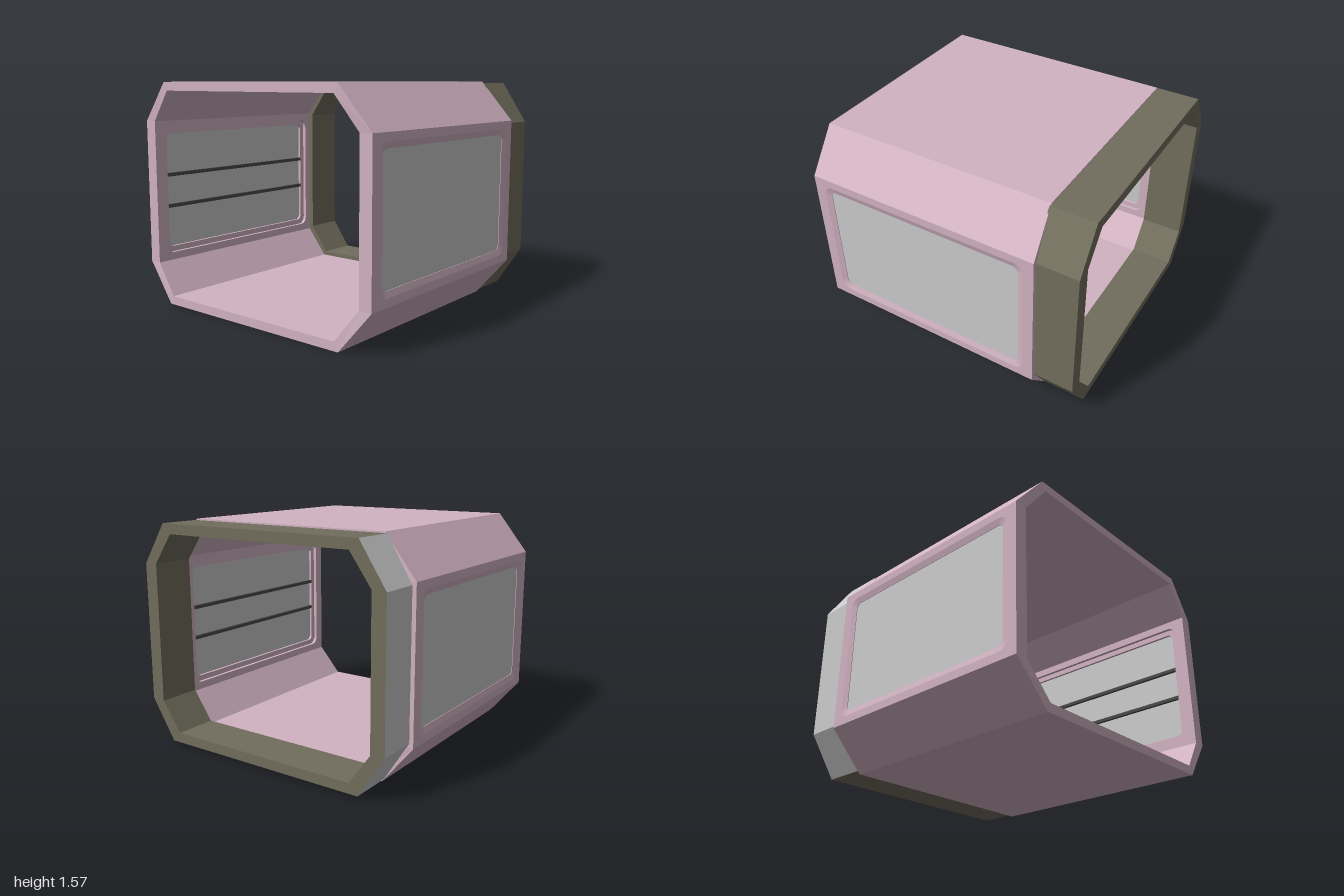
import * as THREE from 'three';

const pink = new THREE.MeshStandardMaterial({ color: 0xd2b3c2, flatShading: true });
const olive = new THREE.MeshStandardMaterial({ color: 0x726e5d, flatShading: true });
const grey = new THREE.MeshStandardMaterial({ color: 0xcccccc, flatShading: true });
const dark = new THREE.MeshStandardMaterial({ color: 0x4a4a48, flatShading: true });

// Chamfered rectangle as [z, y] corners, starting along the bottom
const octagon = (a, b, y0, y1, y2, y3) => [
  [-a, y0], [a, y0], [b, y1], [b, y2], [a, y3], [-a, y3], [-b, y2], [-b, y1],
];

// Flat-shaded surface from a list of four-cornered faces
function quads(list) {
  const pos = [];
  for (const [a, b, c, d] of list) pos.push(...a, ...b, ...c, ...a, ...c, ...d);
  const g = new THREE.BufferGeometry();
  g.setAttribute('position', new THREE.Float32BufferAttribute(pos, 3));
  g.computeVertexNormals();
  return g;
}

// Hollow octagonal sleeve along x; the ends shift by "lean" at the side corners
function sleeve(outer, inner, x0, x1, lean, outerFaces, innerFaces, rims) {
  const at = (p, i, x) => [x + (i % 4 > 1 ? lean : 0), p[i][1], p[i][0]];
  const list = [];
  for (let i = 0; i < 8; i++) {
    const j = (i + 1) % 8;
    const o = (k, x) => at(outer, k, x), n = (k, x) => at(inner, k, x);
    if (outerFaces.includes(i)) list.push([o(i, x0), o(i, x1), o(j, x1), o(j, x0)]);
    if (innerFaces.includes(i)) list.push([n(i, x0), n(j, x0), n(j, x1), n(i, x1)]);
    if (rims) {
      list.push([o(i, x1), n(i, x1), n(j, x1), o(j, x1)]);
      list.push([o(i, x0), o(j, x0), n(j, x0), n(i, x0)]);
    }
  }
  return quads(list);
}

// Outline points of a rounded rectangle with half-sizes w and h, counter-clockwise
function roundedRect(w, h, r, steps = 6) {
  const points = [];
  [[1, -1], [1, 1], [-1, 1], [-1, -1]].forEach(([sx, sy], corner) => {
    for (let k = 0; k <= steps; k++) {
      const t = (corner - 1 + k / steps) * Math.PI / 2;
      points.push(new THREE.Vector2(sx * (w - r) + r * Math.cos(t), sy * (h - r) + r * Math.sin(t)));
    }
  });
  return points;
}

// Flat plate from z0 to z1, with an optional hole
function plate(outline, z0, z1, hole) {
  const shape = new THREE.Shape(outline);
  if (hole) shape.holes.push(new THREE.Path(hole));
  return new THREE.ExtrudeGeometry(shape, { depth: z1 - z0, bevelEnabled: false }).translate(0, 0, z0);
}

function add(parent, name, geometry, material) {
  const m = new THREE.Mesh(geometry, material);
  m.name = name;
  parent.add(m);
}

// Side wall with a recessed window, facing +z
function sideWall() {
  const g = new THREE.Group();
  const edge = [[-0.83, -0.51], [0.83, -0.51], [0.83, 0.51], [-0.83, 0.51]]
    .map(([x, y]) => new THREE.Vector2(x, y));
  const big = roundedRect(0.755, 0.455, 0.06);
  const small = roundedRect(0.715, 0.415, 0.04);
  add(g, 'wall', plate(edge, 0.91, 1, big), pink);

  // Sloped surround running down to the pane
  const slope = big.map((p, i) => {
    const j = (i + 1) % big.length, q = big[j];
    return [[p.x, p.y, 1], [q.x, q.y, 1], [small[j].x, small[j].y, 0.988], [small[i].x, small[i].y, 0.988]];
  });
  add(g, 'windowBevel', quads(slope), pink);

  // Inner lip around the pane
  add(g, 'windowLip', plate(big, 0.935, 0.986, small), pink);
  add(g, 'windowPane', plate(small, 0.955, 0.982), grey);

  // Horizontal bars on the inside of the pane
  for (const y of [-0.115, 0.115]) {
    add(g, 'windowBar', new THREE.BoxGeometry(1.43, 0.025, 0.025).translate(0, y, 0.945), dark);
  }
  return g;
}

export function createModel() {
  const model = new THREE.Group();
  model.name = 'module';

  // Main shell, open at both ends
  const noSides = [0, 1, 3, 4, 5, 7];
  const shellOuter = octagon(0.77, 1, 0, 0.275, 1.295, 1.57);
  const shellInner = octagon(0.74, 0.91, 0.06, 0.275, 1.295, 1.51);
  add(model, 'shell', sleeve(shellOuter, shellInner, -0.98, 0.68, 0.02, noSides, noSides, true), pink);

  // Matching side walls
  for (const turn of [0, Math.PI]) {
    const side = sideWall();
    side.name = turn ? 'backWall' : 'frontWall';
    side.position.set(-0.13, 0.785, 0);
    side.rotation.y = turn;
    model.add(side);
  }

  // End collar, with its rear faces in a separate finish
  const collarOuter = octagon(0.785, 0.972, 0.02, 0.305, 1.275, 1.56);
  const collarInner = octagon(0.72, 0.872, 0.09, 0.3, 1.28, 1.49);
  const all = [0, 1, 2, 3, 4, 5, 6, 7];
  add(model, 'collar', sleeve(collarOuter, collarInner, 0.675, 0.98, 0, [0, 1, 2, 3, 4], all, true), olive);
  add(model, 'collarRearPanels', sleeve(collarOuter, collarInner, 0.675, 0.98, 0, [5, 6, 7], [], false), grey);

  return model;
}
